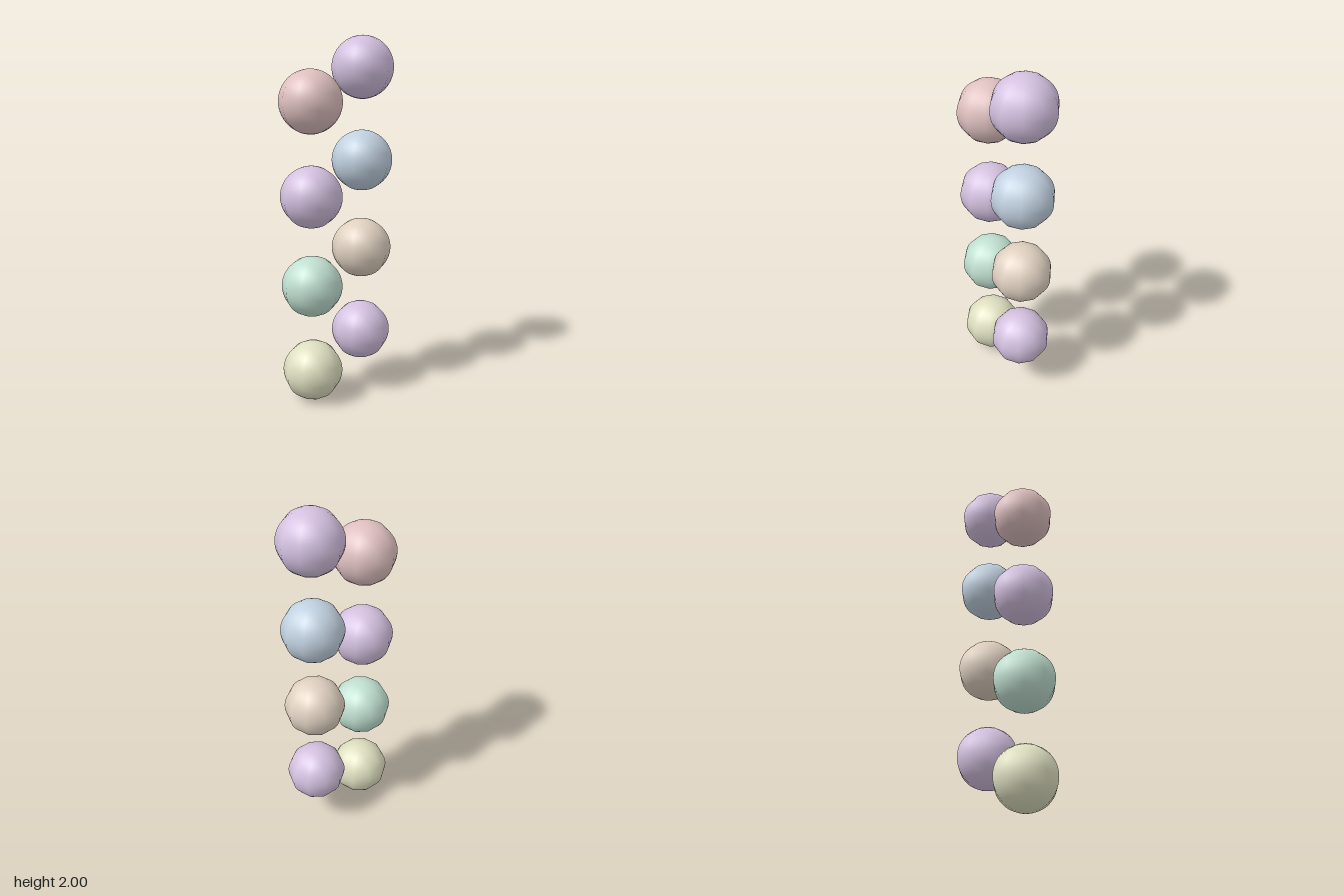
import * as THREE from 'three';

export function createModel() {
  const model = new THREE.Group();
  model.name = 'staggeredBalls';

  const paint = (name, color) => {
    const m = new THREE.MeshStandardMaterial({ color });
    m.name = name;
    return m;
  };
  const yellow = paint('paleYellow', 0xdedfc0);
  const purple = paint('paleLilac', 0xd3c0df);
  const green = paint('paleGreen', 0xc0dfd0);
  const tan = paint('paleTan', 0xdfd0c0);
  const blue = paint('paleBlue', 0xc0d0df);
  const pink = paint('palePink', 0xdfc0c0);

  // Ten-sided around the upright axis, smooth from pole to pole
  const r = 1 / 6;
  const ball = new THREE.SphereGeometry(r, 10, 32);

  // Two columns of balls in a zigzag, listed from the bottom up
  const rows = [[yellow, purple], [green, tan], [purple, blue], [pink, purple]];
  rows.forEach((pair, row) => pair.forEach((material, side) => {
    const mesh = new THREE.Mesh(ball, material);
    mesh.name = (side ? 'leftBall' : 'rightBall') + (row + 1);
    mesh.position.set(side ? r : -r, r + row * 0.5 + side * r, 0);
    model.add(mesh);
  }));

  return model;
}
